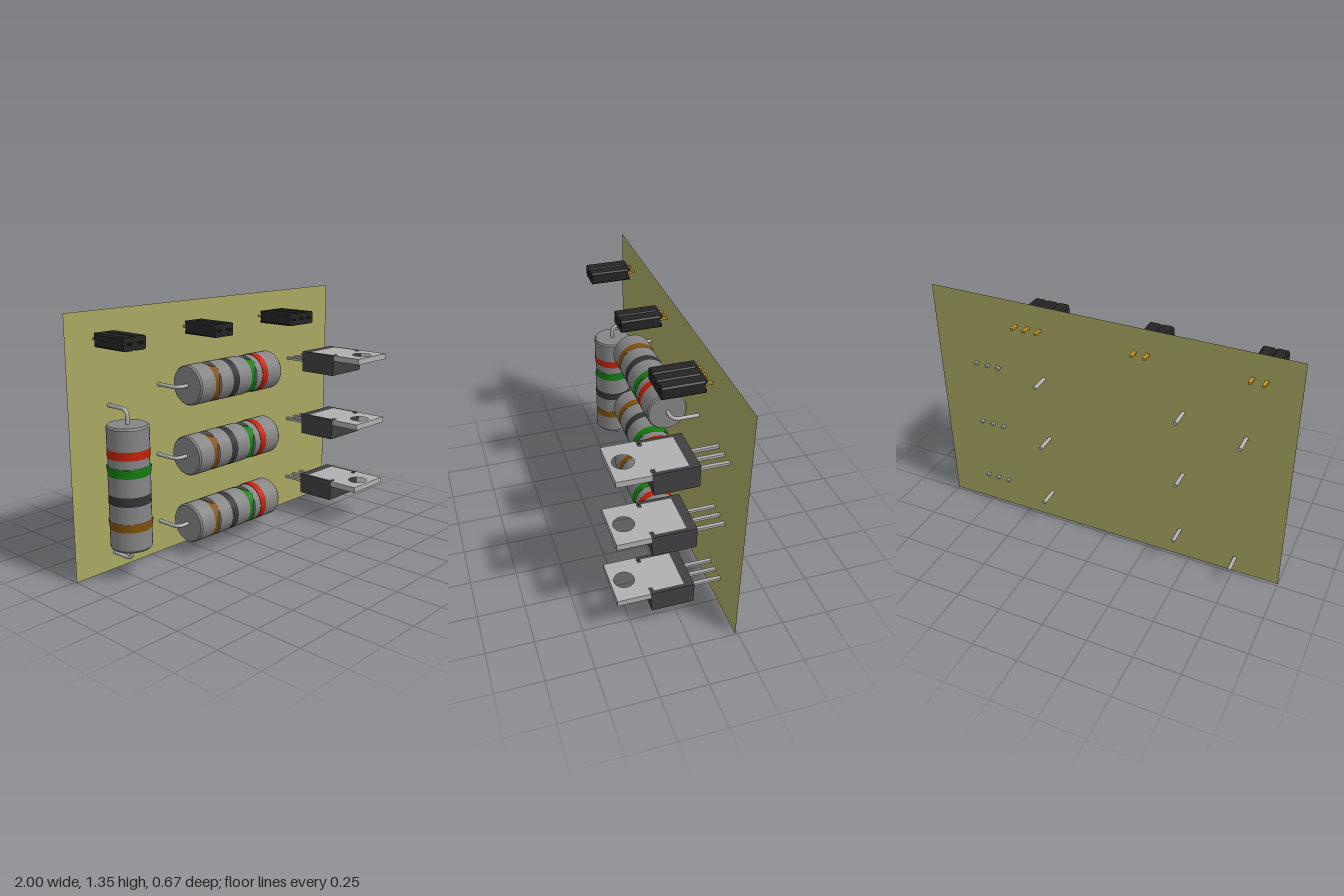
import * as THREE from 'three';

const paint = (color, side = THREE.FrontSide) => new THREE.MeshStandardMaterial({ color, side });
const GREY = paint(0x858585), RED = paint(0xc42008), GREEN = paint(0x147c10), BLACK = paint(0x343438);
const BROWN = paint(0x805008), WIRE = paint(0xb0b0b0, THREE.DoubleSide), METAL = paint(0xb0b0b0);
const PLASTIC = paint(0x404042), HOUSING = paint(0x242424), GOLD = paint(0xcc9c20);

function add(parent, name, geometry, material, x = 0, y = 0, z = 0) {
  const mesh = new THREE.Mesh(geometry, material);
  mesh.name = name;
  mesh.position.set(x, y, z);
  parent.add(mesh);
  return mesh;
}

const box = (w, h, d) => new THREE.BoxGeometry(w, h, d);

function polygon(points) {
  return new THREE.Shape(points.map(([x, y]) => new THREE.Vector2(x, y)));
}

// Resistor sections along its axis: name, start, end, start radius, end radius, material, squared end
const R = 0.107;
const SECTIONS = [
  ['endCap', -0.318, -0.308, 0.1, R, GREY],
  ['endCap', -0.308, -0.211, R, R, GREY],
  ['brownBand', -0.211, -0.168, R, R, BROWN, 1],
  ['barrel', -0.168, -0.077, R, R, GREY],
  ['blackBand', -0.077, -0.029, R, R, BLACK],
  ['barrel', -0.029, 0.067, R, R, GREY],
  ['greenBand', 0.067, 0.112, R, R, GREEN, 1],
  ['barrel', 0.112, 0.158, 0.104, 0.104, GREY],
  ['redBand', 0.158, 0.201, R, R, RED],
  ['endCap', 0.201, 0.308, R, R, GREY],
  ['endCap', 0.308, 0.318, R, 0.1, GREY],
];

function resistor(name) {
  const group = new THREE.Group();
  group.name = name;
  for (const [part, a, b, ra, rb, material, squared] of SECTIONS) {
    const geo = new THREE.CylinderGeometry(rb, ra, b - a, 32);
    if (squared) {
      // the far rim becomes a rounded square
      const p = geo.attributes.position;
      for (let i = 0; i < p.count; i++) {
        const x = p.getX(i), z = p.getZ(i), r = Math.hypot(x, z);
        if (p.getY(i) < 0 || r < 0.01) continue;
        const k = Math.min(0.113, 0.088 * r / Math.max(Math.abs(x), Math.abs(z))) / r;
        p.setX(i, x * k);
        p.setZ(i, z * k);
      }
    }
    geo.rotateZ(-Math.PI / 2);
    add(group, part, geo, material, (a + b) / 2);
  }
  // bent wire leads running back through the board
  for (const s of [-1, 1]) {
    const v = (x, z) => new THREE.Vector3(s * x, 0, z);
    const path = new THREE.CurvePath();
    path.add(new THREE.LineCurve3(v(0.3, 0), v(0.35, 0)));
    path.add(new THREE.QuadraticBezierCurve3(v(0.35, 0), v(0.39, 0), v(0.39, -0.04)));
    path.add(new THREE.LineCurve3(v(0.39, -0.04), v(0.39, -0.244)));
    add(group, 'lead', new THREE.TubeGeometry(path, 36, 0.0105, 10), WIRE);
    add(group, 'leadEnd', new THREE.CircleGeometry(0.0105, 10), WIRE, s * 0.39, 0, -0.244);
  }
  return group;
}

// Power transistor: local y = 0 is the top of the metal tab
function transistor(name) {
  const group = new THREE.Group();
  group.name = name;
  // plastic body, front face slightly drafted
  const side = polygon([[0.067, -0.004], [-0.165, -0.004], [-0.156, -0.118], [0.067, -0.118]]);
  const body = new THREE.ExtrudeGeometry(side, { depth: 0.268, bevelEnabled: false });
  body.rotateY(Math.PI / 2);
  add(group, 'body', body, PLASTIC, -0.134);
  // plastic rim framing the tab
  for (const s of [-1, 1]) add(group, 'rim', box(0.02, 0.004, 0.23), PLASTIC, s * 0.124, -0.002, 0.048);
  add(group, 'rim', box(0.268, 0.004, 0.05), PLASTIC, 0, -0.002, -0.042);
  // metal tab with a narrow neck, corner notches and a screw hole
  const plan = polygon([[-0.114, 0.017], [0.114, 0.017], [0.114, -0.143], [0.092, -0.143], [0.092, -0.163],
    [0.134, -0.163], [0.134, -0.335], [-0.134, -0.335], [-0.134, -0.163], [-0.092, -0.163],
    [-0.092, -0.143], [-0.114, -0.143]]);
  const hole = new THREE.Path();
  hole.absarc(0, -0.262, 0.053, 0, Math.PI * 2, true);
  plan.holes.push(hole);
  const tab = new THREE.ExtrudeGeometry(plan, { depth: 0.032, bevelEnabled: false, curveSegments: 24 });
  tab.rotateX(-Math.PI / 2);
  add(group, 'tab', tab, METAL, 0, -0.032);
  for (const x of [-0.067, 0, 0.067]) add(group, 'pin', box(0.019, 0.014, 0.2), METAL, x, -0.068, -0.155);
  return group;
}

// Socket strip made of repeated chamfered cells
function header(name, count) {
  const group = new THREE.Group();
  group.name = name;
  const w = 0.034, h = 0.034, c = 0.008;
  const cell = polygon([[-w + c, -h], [w - c, -h], [w, -h + c], [w, h - c],
    [w - c, h], [-w + c, h], [-w, h - c], [-w, -h + c]]);
  cell.holes.push(new THREE.Path([[-0.016, -0.006], [-0.016, 0.006], [0.016, 0.006], [0.016, -0.006]]
    .map(([x, y]) => new THREE.Vector2(x, y))));
  const geo = new THREE.ExtrudeGeometry(cell, { depth: 0.215, bevelEnabled: false });
  for (let i = 0; i < count; i++) {
    const x = (i - (count - 1) / 2) * 0.068;
    add(group, 'cell', geo, HOUSING, x, 0, -0.19);
    add(group, 'pin', box(0.017, 0.011, 0.275), GOLD, x, 0, -0.1475);
  }
  // back lips leaving a slot for the pins
  for (const s of [-1, 1]) add(group, 'backLip', box(count * 0.068 - 0.016, 0.014, 0.012), HOUSING, 0, s * 0.027, -0.196);
  return group;
}

export function createModel() {
  const model = new THREE.Group();
  model.name = 'circuitBoardAssembly';

  add(model, 'board', new THREE.PlaneGeometry(2, 1.35), paint(0xa8a862, THREE.DoubleSide), 0, 0.675, -0.236);

  // three horizontal resistors and one upright
  for (const [x, y] of [[-0.046, 0.175], [-0.048, 0.553], [-0.034, 0.93]]) {
    const r = resistor('horizontalResistor');
    r.position.set(x, y, -0.095);
    model.add(r);
  }
  const upright = resistor('uprightResistor');
  upright.rotation.z = Math.PI / 2;
  upright.position.set(-0.754, 0.483, -0.095);
  model.add(upright);

  for (const y of [0.244, 0.621, 1.0]) {
    const t = transistor('transistor');
    t.position.set(0.698, y, 0);
    model.add(t);
  }

  for (const [x, count] of [[-0.792, 2], [-0.197, 2], [0.433, 3]]) {
    const h = header('pinHeader', count);
    h.position.set(x, 1.214, 0);
    model.add(h);
  }
  return model;
}
